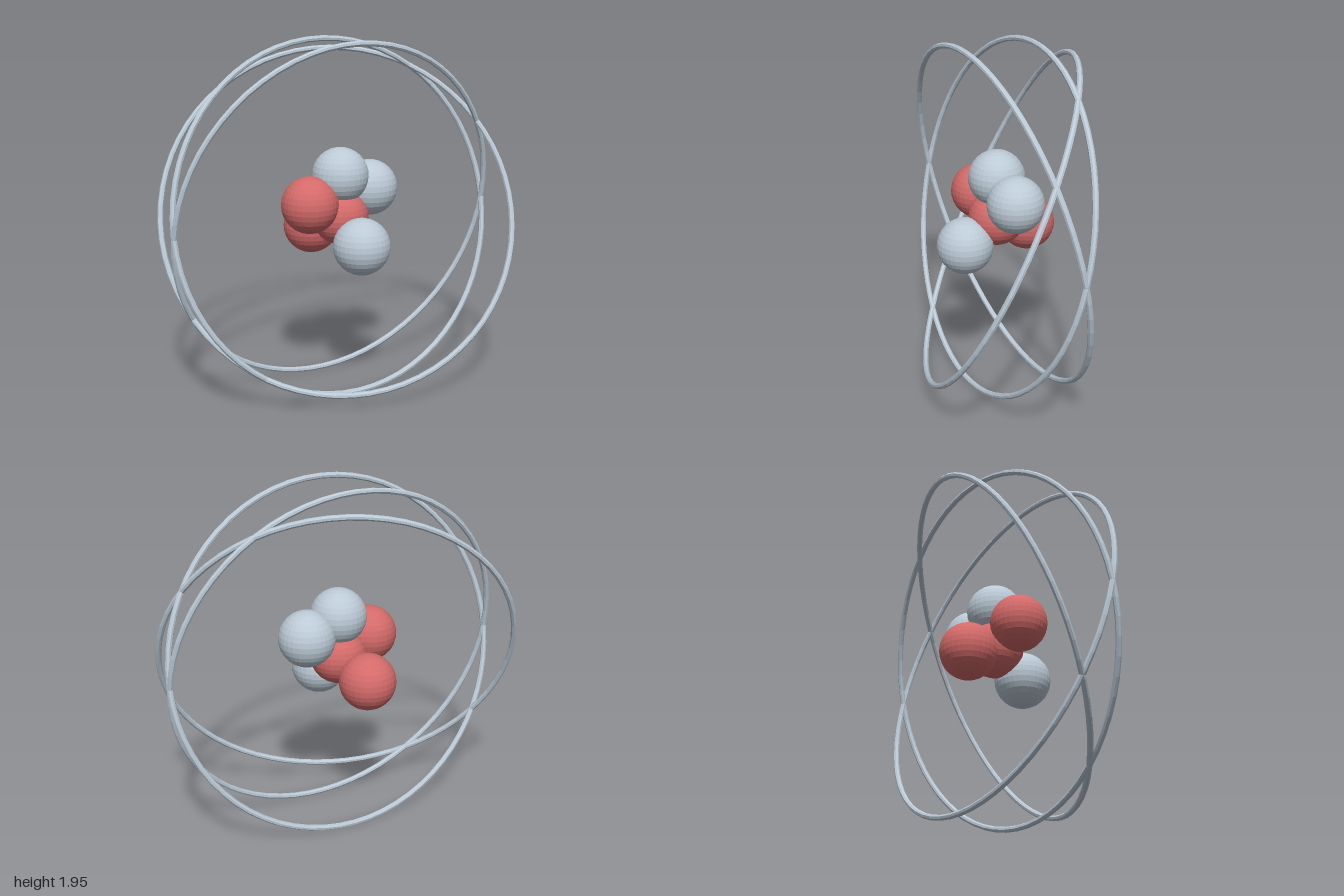
import * as THREE from 'three';

const CENTER_Y = 0.977;
const RING_RADIUS = 0.984;
const TUBE_RADIUS = 0.016;
const BALL_RADIUS = 0.157;

export function createModel() {
  const model = new THREE.Group();
  model.name = 'atom';

  const steel = new THREE.MeshStandardMaterial({ color: 0xbccad6, flatShading: true });
  steel.name = 'paleSteel';
  const red = new THREE.MeshStandardMaterial({ color: 0xd46a6a, flatShading: true });
  red.name = 'softRed';

  // Nucleus: a cluster of overlapping balls
  const nucleus = new THREE.Group();
  nucleus.name = 'nucleus';
  nucleus.position.y = CENTER_Y;
  model.add(nucleus);

  const ballGeometry = new THREE.SphereGeometry(BALL_RADIUS, 32, 16);
  const addBalls = (name, material, centers) => centers.forEach((c, i) => {
    const ball = new THREE.Mesh(ballGeometry, material);
    ball.name = `${name}${i + 1}`;
    ball.position.set(...c);
    nucleus.add(ball);
  });
  addBalls('proton', red, [[0, 0, 0], [-0.18, 0.09, 0.09], [-0.14, -0.09, -0.18]]);
  addBalls('neutron', steel, [[0, 0.23, 0], [0.18, 0.14, -0.09], [0.09, -0.13, 0.18]]);

  // Orbits: one tilted ring, turned about z in steps of 60 degrees
  const ringGeometry = new THREE.TorusGeometry(RING_RADIUS, TUBE_RADIUS, 8, 64);
  for (let i = 0; i < 3; i++) {
    const ring = new THREE.Mesh(ringGeometry, steel);
    ring.name = `orbitRing${i + 1}`;
    ring.position.y = CENTER_Y;
    ring.rotation.set(THREE.MathUtils.degToRad(-25), 0, -i * Math.PI / 3, 'ZYX');
    model.add(ring);
  }

  return model;
}
